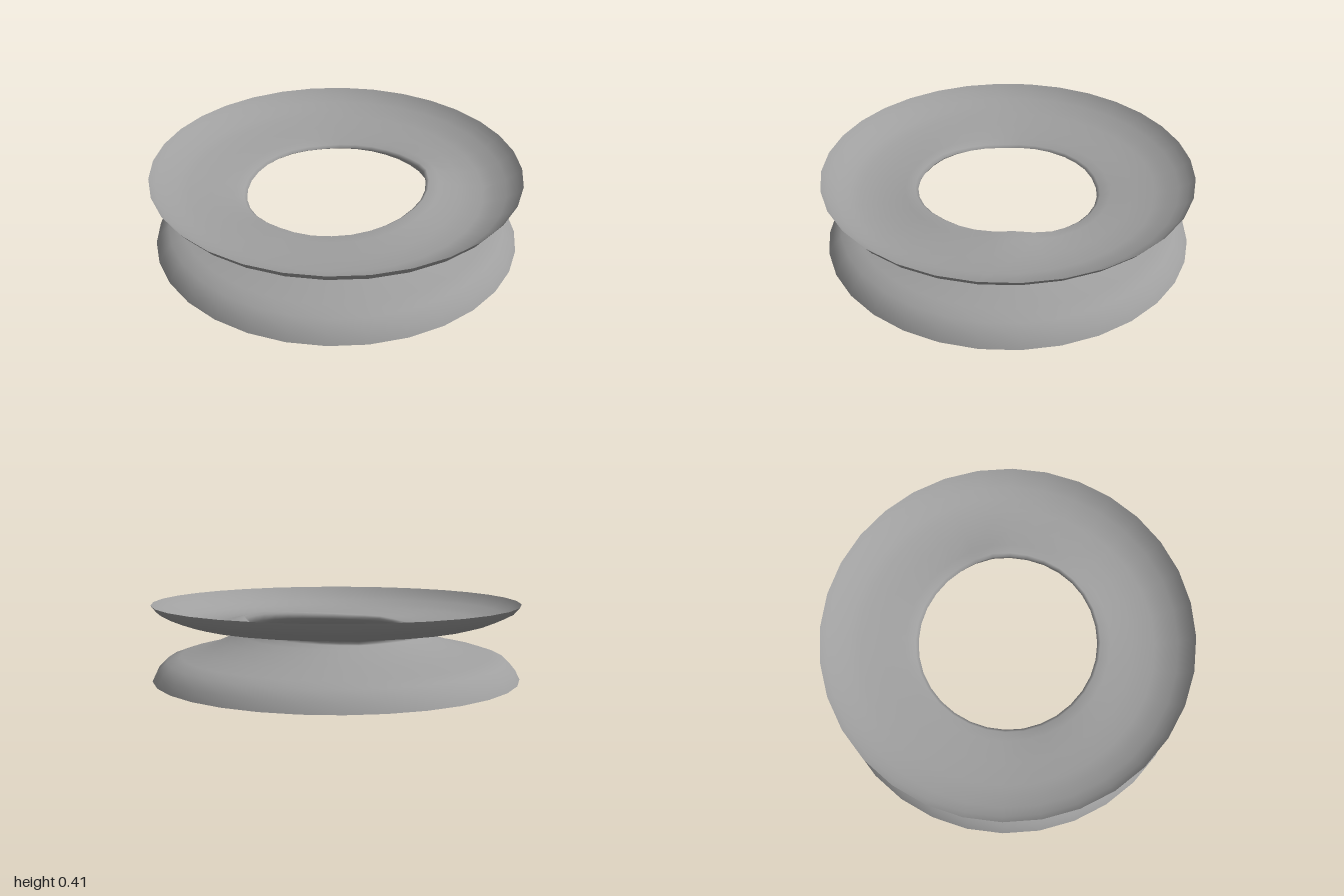
import * as THREE from 'three';
import { mergeVertices } from 'three/addons/utils/BufferGeometryUtils.js';

const SIDES = 32;

// Profile from bottom rim to top rim: radius, height, share of the neck wave, share of the dish tilt
const PROFILE = [
  [1, 0, 0, 0], [0.975, 0.05, 0, 0], [0.925, 0.1, 0, 0], [0.85, 0.125, 0, 0],
  [0.73, 0.15, 0, 0], [0.61, 0.193, 0.2, 0], [0.535, 0.226, 0.35, 0],
  [0.5, 0.248, 0.55, 0], [0.489, 0.268, 1, 0], [0.505, 0.281, 1, 0],
  [0.56, 0.286, 0.7, 0.4], [0.68, 0.288, 0.2, 0.8], [0.8, 0.3, 0, 1],
  [0.86, 0.318, 0, 1], [0.92, 0.343, 0, 0.9], [0.97, 0.37, 0, 0.4], [1, 0.405, 0, 0],
];

// Height change of the neck every 22.5 degrees, from +x towards +z
const NECK_WAVE = [
  -0.008, 0.012, 0.05, 0.04, 0.036, 0.022, 0.006, -0.005,
  -0.008, -0.027, -0.04, -0.032, -0.025, -0.022, -0.028, -0.018,
];

function neckWave(angle) {
  const n = NECK_WAVE.length;
  const t = (angle / (2 * Math.PI) + 1) * n;
  const i = Math.floor(t);
  return THREE.MathUtils.lerp(NECK_WAVE[i % n], NECK_WAVE[(i + 1) % n], t - i);
}

export function createModel() {
  const group = new THREE.Group();
  group.name = 'flaredRing';

  // Thin open skin: lower flare, waisted neck and upper dish
  const points = PROFILE.map(([r, y]) => new THREE.Vector2(r, y));
  let geometry = new THREE.LatheGeometry(points, SIDES);

  // Make the neck uneven around the ring and let the dish sag on one side
  const pos = geometry.attributes.position;
  for (let i = 0; i < pos.count; i++) {
    const [, y, neck, dish] = PROFILE[i % PROFILE.length];
    const a = Math.atan2(pos.getZ(i), pos.getX(i));
    const sag = -0.02 * Math.max(0, Math.cos(a - 2.1));
    pos.setY(i, y + neck * neckWave(a) + dish * sag);
  }

  // Weld the seam so the shading is smooth all round
  geometry.deleteAttribute('uv');
  geometry.deleteAttribute('normal');
  geometry = mergeVertices(geometry, 1e-4);
  geometry.computeVertexNormals();

  const skin = new THREE.Mesh(
    geometry,
    new THREE.MeshStandardMaterial({ color: 0x9f9f9f, side: THREE.DoubleSide })
  );
  skin.name = 'waistedSkin';
  group.add(skin);
  return group;
}
